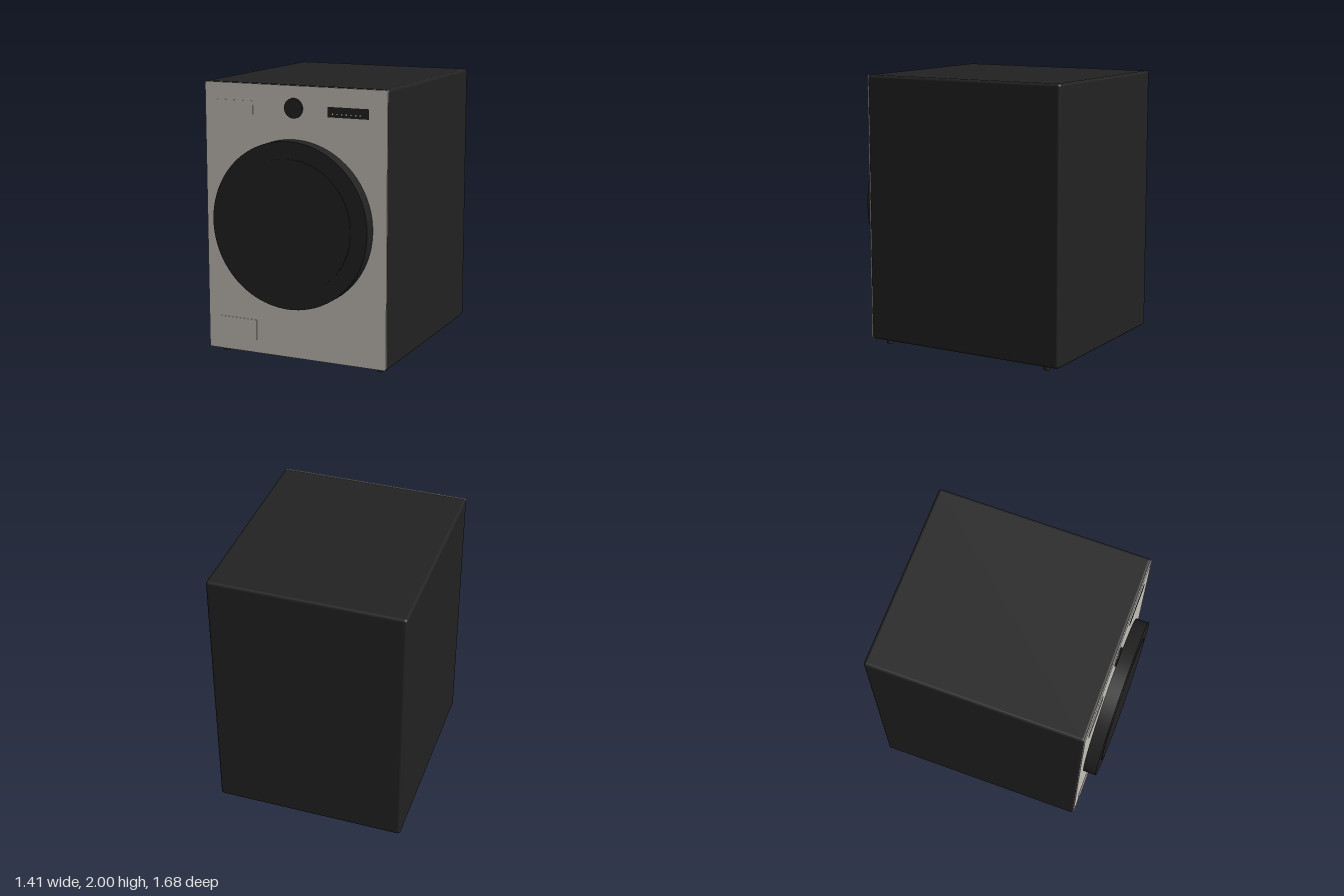
import * as THREE from 'three';
import { RoundedBoxGeometry } from 'three/addons/geometries/RoundedBoxGeometry.js';

const FRONT = 0.737; // z of the front panel's face

function material(name, color) {
  const m = new THREE.MeshStandardMaterial({ color });
  m.name = name;
  return m;
}

export function createModel() {
  const group = new THREE.Group();
  const charcoal = material('charcoal', 0x222222);
  const beige = material('beige', 0xc6c2ba);
  const white = material('white', 0xe8e8e8);

  const add = (name, geometry, mat, x, y, z) => {
    const mesh = new THREE.Mesh(geometry, mat);
    mesh.name = name;
    mesh.position.set(x, y, z);
    group.add(mesh);
    return mesh;
  };
  // Box given by its x, y and z ranges
  const block = (name, mat, x0, x1, y0, y1, z0, z1) =>
    add(name, new THREE.BoxGeometry(x1 - x0, y1 - y0, z1 - z0), mat,
      (x0 + x1) / 2, (y0 + y1) / 2, (z0 + z1) / 2);
  // Round part facing the front, between two depths
  const disc = (name, radius, y, z0, z1, segments) =>
    add(name, new THREE.CylinderGeometry(radius, radius, z1 - z0, segments).rotateX(Math.PI / 2),
      charcoal, 0, y, (z0 + z1) / 2);

  // Cabinet with softly rounded edges
  add('cabinet', new RoundedBoxGeometry(1.41, 1.96, 1.575, 4, 0.022), charcoal, 0, 1.02, -0.0525);

  // Front panel with small rounded corners
  const w = 0.7, y0 = 0.044, y1 = 1.996, r = 0.015;
  const outline = new THREE.Shape();
  outline.absarc(w - r, y1 - r, r, 0, Math.PI / 2);
  outline.absarc(-w + r, y1 - r, r, Math.PI / 2, Math.PI);
  outline.absarc(-w + r, y0 + r, r, Math.PI, Math.PI * 1.5);
  outline.absarc(w - r, y0 + r, r, Math.PI * 1.5, Math.PI * 2);
  add('frontPanel', new THREE.ExtrudeGeometry(outline,
    { depth: 0.008, bevelEnabled: false, curveSegments: 5 }), beige, 0, 0, FRONT - 0.008);

  // Detergent drawer and filter cover, barely raised from the panel
  block('detergentDrawer', beige, -0.6, -0.32, 1.78, 1.875, FRONT - 0.002, FRONT + 0.004);
  block('filterCover', beige, -0.6, -0.31, 0.07, 0.29, FRONT - 0.002, FRONT + 0.004);

  // Round door with a raised inner window
  disc('door', 0.597, 1.025, 0.73, 0.834, 96);
  disc('doorWindow', 0.475, 1.025, 0.83, 0.84, 96);

  // Control dial
  disc('dial', 0.07, 1.84, 0.73, 0.748, 48);

  // Display with a row of indicator lights
  block('display', charcoal, 0.257, 0.565, 1.792, 1.863, FRONT - 0.002, FRONT + 0.002);
  for (let i = 0; i < 7; i++) {
    const x = 0.295 + i * 0.0345;
    block('indicatorLight', white, x - 0.004, x + 0.004, 1.811, 1.819, FRONT, FRONT + 0.004);
  }

  // Four feet
  for (const x of [-0.617, 0.617]) {
    for (const z of [0.63, -0.705]) {
      add('foot', new THREE.CylinderGeometry(0.024, 0.024, 0.05, 20), charcoal, x, 0.025, z);
    }
  }

  return group;
}
